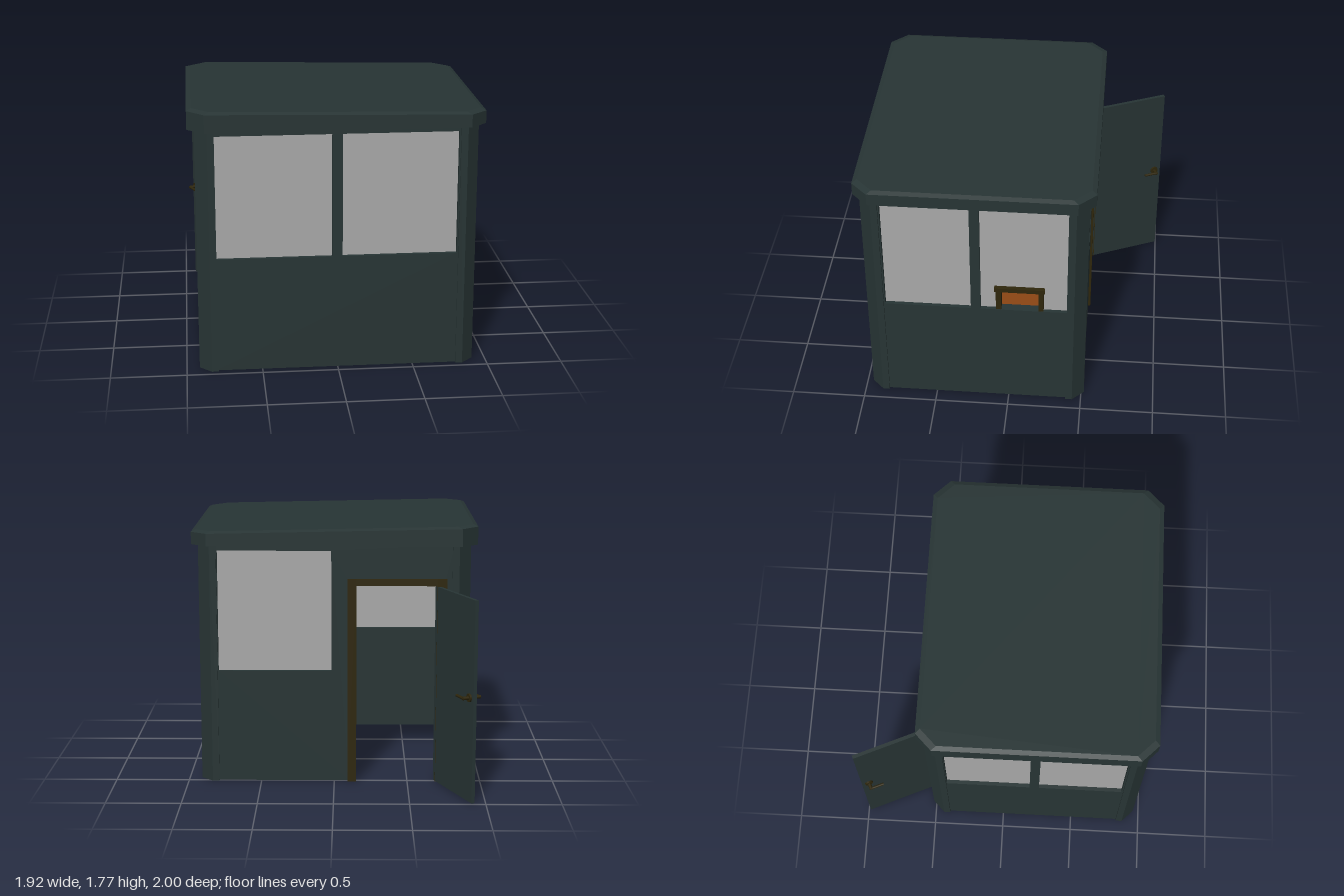
import * as THREE from 'three';
import { ConvexGeometry } from 'three/addons/geometries/ConvexGeometry.js';

const paint = new THREE.MeshStandardMaterial({ color: 0x273434 });
paint.name = 'dark green paint';
const glass = new THREE.MeshStandardMaterial({ color: 0xa8a8a8 });
glass.name = 'grey glass';
const bronze = new THREE.MeshStandardMaterial({ color: 0x2e260c });
bronze.name = 'dark bronze';
const wood = new THREE.MeshStandardMaterial({ color: 0x8b4513 });
wood.name = 'brown wood';

const HALF_X = 0.915, FRONT = 0.96, BACK = -0.52; // outer limits of the corner posts
const SILL = 0.777, HEAD = 1.6, EAVES = 1.64, THICK = 0.06;

function add(parent, name, geometry, material, x = 0, y = 0, z = 0) {
  const mesh = new THREE.Mesh(geometry, material);
  mesh.name = name;
  mesh.position.set(x, y, z);
  parent.add(mesh);
  return mesh;
}

// Box given by its limits
function block(parent, name, material, [x0, x1], [y0, y1], [z0, z1]) {
  return add(parent, name, new THREE.BoxGeometry(x1 - x0, y1 - y0, z1 - z0), material,
    (x0 + x1) / 2, (y0 + y1) / 2, (z0 + z1) / 2);
}

const polygon = (points) => new THREE.Shape(points.map(([x, y]) => new THREE.Vector2(x, y)));
const rect = (a, b, c, d) => polygon([[a, c], [b, c], [b, d], [a, d]]);
const extrude = (shape, depth) => new THREE.ExtrudeGeometry(shape, { depth, bevelEnabled: false });

// Wall panel with window openings and thin panes; panes may have their own outline
function wall(parent, name, outline, windows, panes = {}) {
  const group = new THREE.Group();
  group.name = name;
  for (const [a, b] of windows) outline.holes.push(rect(a, b, SILL, HEAD));
  add(group, name + 'Panel', extrude(outline, THICK), paint);
  windows.forEach(([a, b], i) =>
    add(group, name + 'Glass', extrude(panes[i] || rect(a, b, SILL, HEAD), 0.008), glass, 0, 0, THICK / 2 - 0.004));
  parent.add(group);
  return group;
}

// Chamfered outline of the roof at a given inset, with a height sloping along x
function roofRing(inset, height, slope) {
  const x = 0.96 - inset, z0 = -0.56 + inset, z1 = 1 - inset, c = 0.11;
  return [[-x, z0 + c], [-x + c, z0], [x - c, z0], [x, z0 + c], [x, z1 - c], [x - c, z1], [-x + c, z1], [-x, z1 - c]]
    .map(([px, pz]) => new THREE.Vector3(px, height - slope * px, pz));
}

function buildDoor() {
  const door = new THREE.Group();
  door.name = 'openDoor';
  block(door, 'doorLeaf', paint, [0, 0.55], [0.005, 1.36], [-0.012, 0.012]);
  // Lever handle on both faces
  for (const s of [-1, 1]) {
    const rose = add(door, 'handleRose', new THREE.CylinderGeometry(0.028, 0.028, 0.012, 20), bronze, 0.5, 0.71, s * 0.018);
    rose.rotation.x = Math.PI / 2;
    const stem = add(door, 'handleStem', new THREE.CylinderGeometry(0.012, 0.012, 0.05, 12), bronze, 0.5, 0.71, s * 0.04);
    stem.rotation.x = Math.PI / 2;
    const lever = add(door, 'handleLever', new THREE.CylinderGeometry(0.009, 0.009, 0.1, 12), bronze, 0.457, 0.71, s * 0.06);
    lever.rotation.z = Math.PI / 2;
  }
  door.position.set(-0.69, 0, -0.49);
  door.rotation.y = Math.atan2(0.91, -0.41);
  return door;
}

export function createModel() {
  const booth = new THREE.Group();
  booth.name = 'guardBooth';

  // Chamfered corner posts
  for (const sx of [-1, 1]) {
    for (const [z, sz] of [[FRONT, 1], [BACK, -1]]) {
      const w = 0.125, c = 0.08;
      const section = [[w, w], [w, 0], [c, 0], [0, c], [0, w]]
        .map(([dx, dz]) => [sx * (HALF_X - dx), -(z - sz * dz)]);
      const geometry = extrude(polygon(section), EAVES);
      geometry.rotateX(-Math.PI / 2);
      add(booth, 'cornerPost', geometry, paint);
    }
  }

  // Front wall
  const front = wall(booth, 'frontWall', rect(-0.8, 0.8, 0.004, EAVES), [[-0.79, -0.037], [0.03, 0.78]]);
  front.position.z = FRONT - 0.012 - THICK;

  // Back wall with the doorway cut out
  const doorway = polygon([[-0.8, 0.004], [-0.74, 0.004], [-0.74, 1.39], [-0.1, 1.39], [-0.1, 0.004],
    [0.8, 0.004], [0.8, EAVES], [-0.8, EAVES]]);
  const back = wall(booth, 'backWall', doorway, [[0.02, 0.785]]);
  back.position.z = BACK + 0.012;

  // Side walls; the right one has a service hatch cut from its rear pane
  const sideWindows = [[0.25, 0.825], [-0.39, 0.185]];
  const hatchPane = polygon([[-0.39, SILL], [-0.22, SILL], [-0.22, 0.945], [0.065, 0.945], [0.065, SILL],
    [0.185, SILL], [0.185, HEAD], [-0.39, HEAD]]);
  for (const s of [-1, 1]) {
    const side = wall(booth, s > 0 ? 'rightHandWall' : 'leftHandWall', rect(-0.4, 0.84, 0.004, EAVES),
      sideWindows, s > 0 ? { 1: hatchPane } : {});
    side.rotation.y = -Math.PI / 2;
    side.position.x = s > 0 ? HALF_X - 0.012 : -HALF_X + 0.012 + THICK;
  }

  // Service hatch frame
  const hatchX = [0.845, 0.9];
  block(booth, 'hatchPost', bronze, hatchX, [SILL, 0.935], [0.047, 0.083]);
  block(booth, 'hatchPost', bronze, hatchX, [SILL, 0.935], [-0.235, -0.2]);
  block(booth, 'hatchTop', bronze, [0.84, 0.907], [0.93, 0.96], [-0.243, 0.093]);

  // Counter along the hatch wall
  block(booth, 'counter', wood, [0.37, 0.845], [0.73, 0.765], [-0.43, 0.87]);

  // Door frame and door
  const frameZ = [BACK - 0.004, BACK + 0.085];
  block(booth, 'doorJamb', bronze, [-0.755, -0.69], [0, 1.41], frameZ);
  block(booth, 'doorJamb', bronze, [-0.15, -0.09], [0, 1.41], frameZ);
  block(booth, 'doorLintel', bronze, [-0.69, -0.15], [1.365, 1.41], frameZ);
  booth.add(buildDoor());

  // Sloping roof slab with a small bevel around its top
  const slope = 0.02;
  add(booth, 'roof', new ConvexGeometry([
    ...roofRing(0, EAVES - 0.005, 0), ...roofRing(0, 1.737, slope), ...roofRing(0.03, 1.75, slope),
  ]), paint);

  return booth;
}
